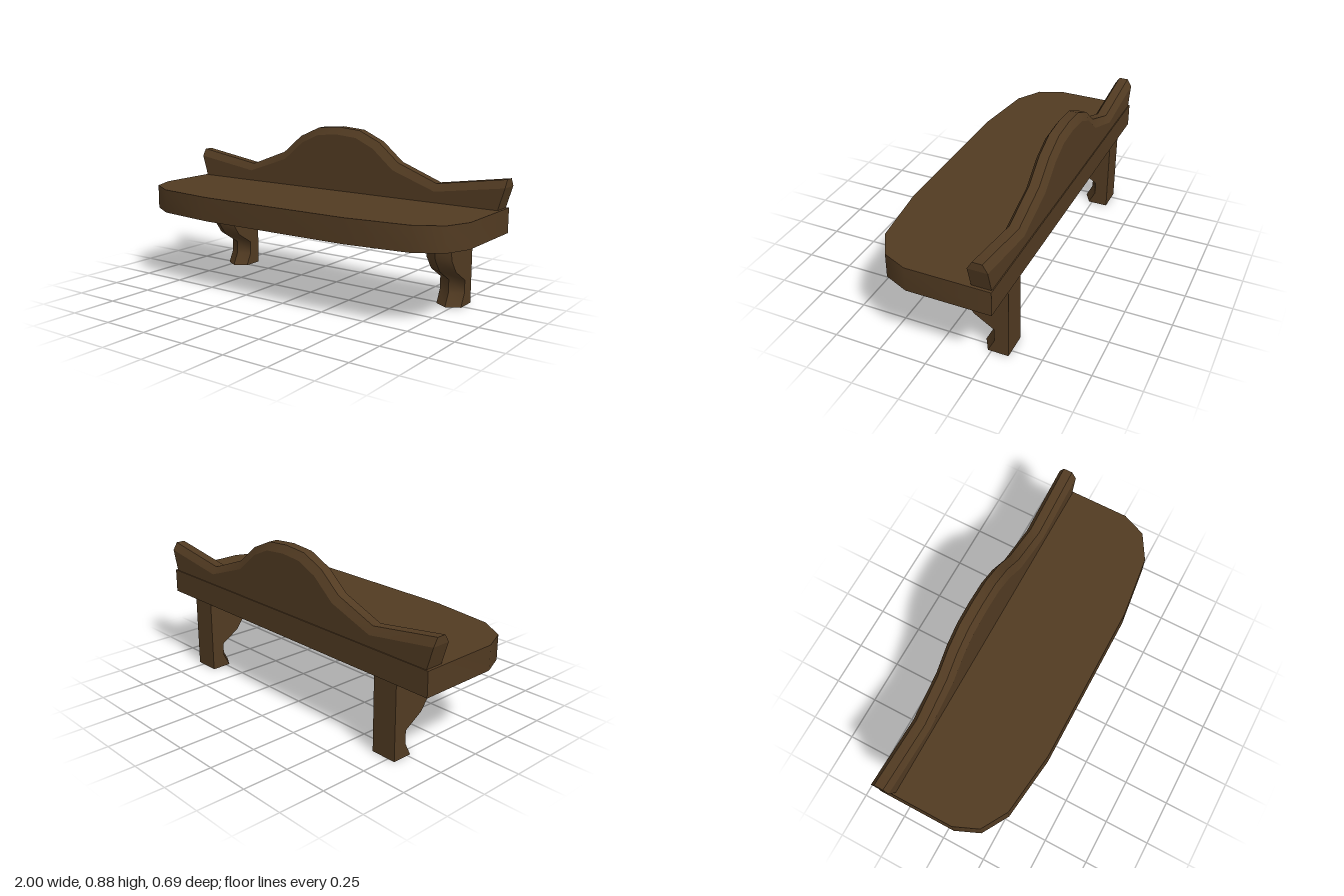
import * as THREE from 'three';
import { toCreasedNormals } from 'three/addons/utils/BufferGeometryUtils.js';

const wood = new THREE.MeshStandardMaterial({ color: 0x523b22 });
wood.name = 'dark wood';

// Joins cross-section rings: smooth along the length, sharp between sides, flat caps.
function loft(rings) {
  const pos = [], idx = [];
  const n = rings[0].length;
  for (let j = 0; j < n; j++) {
    const base = pos.length / 3;
    for (const ring of rings) pos.push(...ring[j], ...ring[(j + 1) % n]);
    for (let r = 0; r < rings.length - 1; r++) {
      const a = base + r * 2;
      idx.push(a, a + 2, a + 3, a, a + 3, a + 1);
    }
  }
  const cap = (ring, flip) => {
    for (let i = 0; i < (n - 1) / 2; i++) {
      const b = pos.length / 3;
      const quad = [ring[i], ring[i + 1], ring[n - 2 - i], ring[n - 1 - i]];
      if (flip) quad.reverse();
      quad.forEach((p) => pos.push(...p));
      idx.push(b, b + 1, b + 2, b, b + 2, b + 3);
    }
  };
  cap(rings[0], false);
  cap(rings[rings.length - 1], true);
  const g = new THREE.BufferGeometry();
  g.setAttribute('position', new THREE.Float32BufferAttribute(pos, 3));
  g.setIndex(idx);
  g.computeVertexNormals();
  return g;
}

function part(name, geometry) {
  const mesh = new THREE.Mesh(geometry, wood);
  mesh.name = name;
  return mesh;
}

// Board with a bowed front edge
function shelfBoard() {
  const half = [[0.98, -0.345], [0.98, 0.09], [0.925, 0.22], [0.785, 0.303], [0.44, 0.345]];
  const outline = [...half, ...half.map(([x, z]) => [-x, z]).reverse()];
  const shape = new THREE.Shape(outline.map(([x, z]) => new THREE.Vector2(x, z)));
  const g = new THREE.ExtrudeGeometry(shape, { depth: 0.13, bevelEnabled: false });
  g.rotateX(Math.PI / 2).translate(0, 0.53, 0);
  return part('shelfBoard', toCreasedNormals(g, 0.65));
}

// Wavy crest with chamfered top edges
function backboard() {
  // top x, top y, shoulder x, shoulder y, bottom x
  const half = [
    [0, 0.882, 0, 0.843, 0],
    [0.135, 0.871, 0.125, 0.832, 0.125],
    [0.26, 0.815, 0.235, 0.782, 0.235],
    [0.38, 0.715, 0.36, 0.677, 0.36],
    [0.612, 0.627, 0.612, 0.588, 0.6],
    [1, 0.686, 1, 0.645, 0.965],
  ];
  const mirrored = half.slice(1).reverse().map(([a, b, c, d, e]) => [-a, b, -c, d, -e]);
  const rings = [...mirrored, ...half].map(([tx, ty, sx, sy, bx]) => [
    [bx, 0.53, -0.24], [sx, sy, -0.24], [tx, ty, -0.265],
    [tx, ty, -0.315], [sx, sy, -0.34], [bx, 0.53, -0.34],
  ]);
  return part('backboard', loft(rings));
}

// Scrolled bracket with a ridge down the middle of its front
function bracket(name, x) {
  const ridge = [
    [0, -0.19], [0.07, -0.225], [0.14, -0.225], [0.205, -0.12],
    [0.275, -0.07], [0.345, -0.06], [0.4, -0.055],
  ];
  const w = 0.071;
  const rings = ridge.map(([y, z]) => [
    [w, y, -0.34], [w, y, z - 0.041], [0, y, z], [-w, y, z - 0.041], [-w, y, -0.34],
  ]);
  const mesh = part(name, loft(rings));
  mesh.position.x = x;
  return mesh;
}

export function createModel() {
  const model = new THREE.Group();
  model.name = 'wallShelf';
  model.add(
    shelfBoard(),
    backboard(),
    bracket('leftBracket', 0.72),
    bracket('rightBracket', -0.72),
  );
  return model;
}
